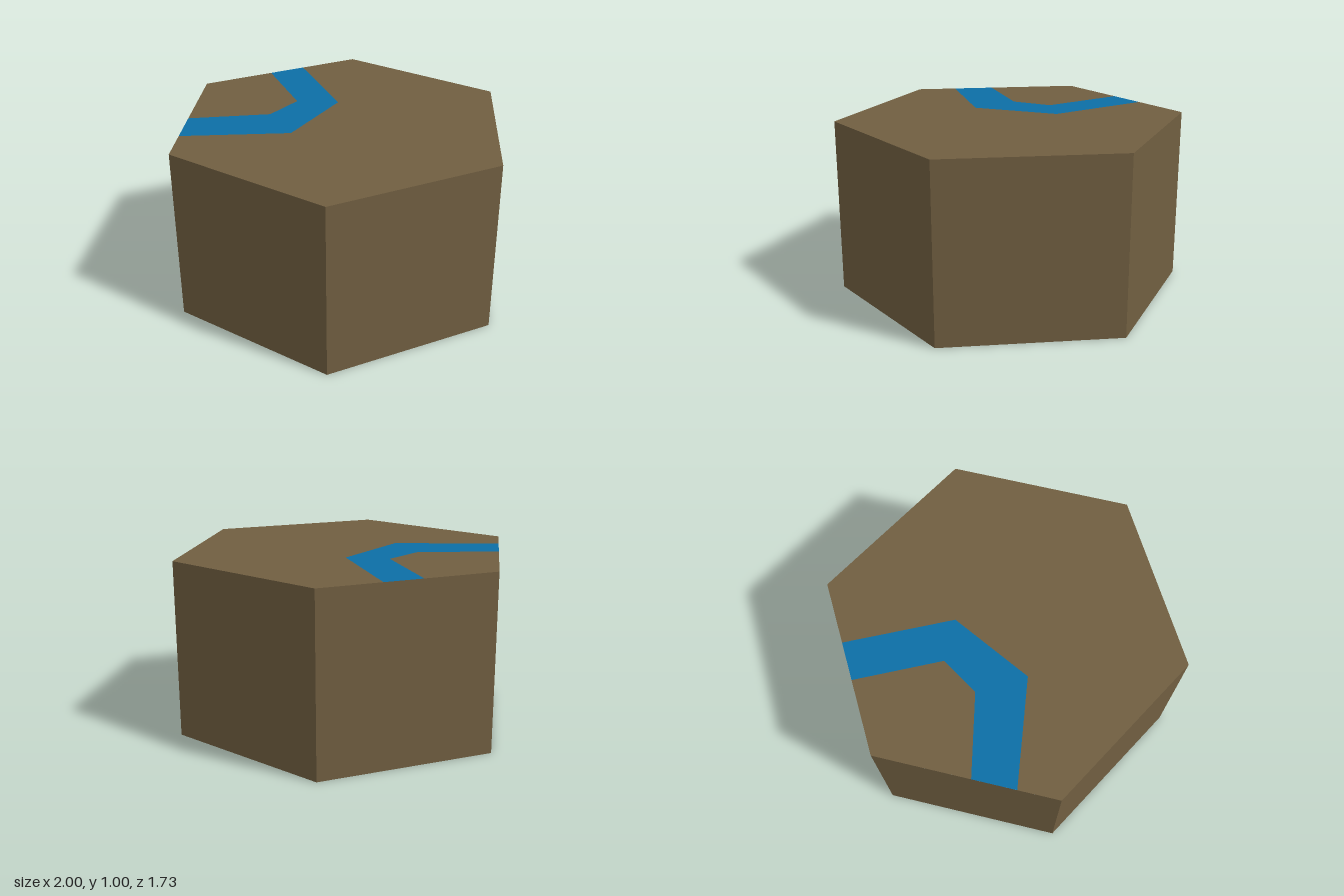
import * as THREE from 'three';

export function createModel() {
  const model = new THREE.Group();
  model.name = 'riverTile';
  const earth = new THREE.MeshStandardMaterial({ name: 'earth brown', color: 0x715f41, side: THREE.DoubleSide, flatShading: true });
  const water = new THREE.MeshStandardMaterial({ name: 'water blue', color: 0x0d6ea6, side: THREE.DoubleSide, flatShading: true });

  const add = (name, geometry, material) => {
    const mesh = new THREE.Mesh(geometry, material);
    mesh.name = name;
    model.add(mesh);
    return mesh;
  };

  // Six side walls, open underneath
  add('sideWalls', new THREE.CylinderGeometry(1, 1, 1, 6, 1, true, Math.PI / 2), earth).position.y = 0.5;

  // Flat top piece from [x, z] corners
  const topPiece = (name, corners, material) => {
    const shape = new THREE.Shape(corners.map(([x, z]) => new THREE.Vector2(x, -z)));
    add(name, new THREE.ShapeGeometry(shape).rotateX(-Math.PI / 2), material).position.y = 1;
  };

  const h = Math.sqrt(3) / 2;
  // River banks, both running from the back edge to the left-hand slanted edge
  const innerBank = [[-0.075, -h], [-0.11, -0.37], [-0.325, -0.26], [-0.765, -0.407]];
  const outerBank = [[0.145, -h], [0.1, -0.25], [-0.32, 0.03], [-0.885, -0.199]];

  topPiece('river', [...innerBank, ...outerBank.slice().reverse()], water);
  topPiece('innerGround', [...innerBank, [-0.5, -h]], earth);
  topPiece('outerGround', [...outerBank, [-1, 0], [-0.5, h], [0.5, h], [1, 0], [0.5, -h]], earth);

  return model;
}
